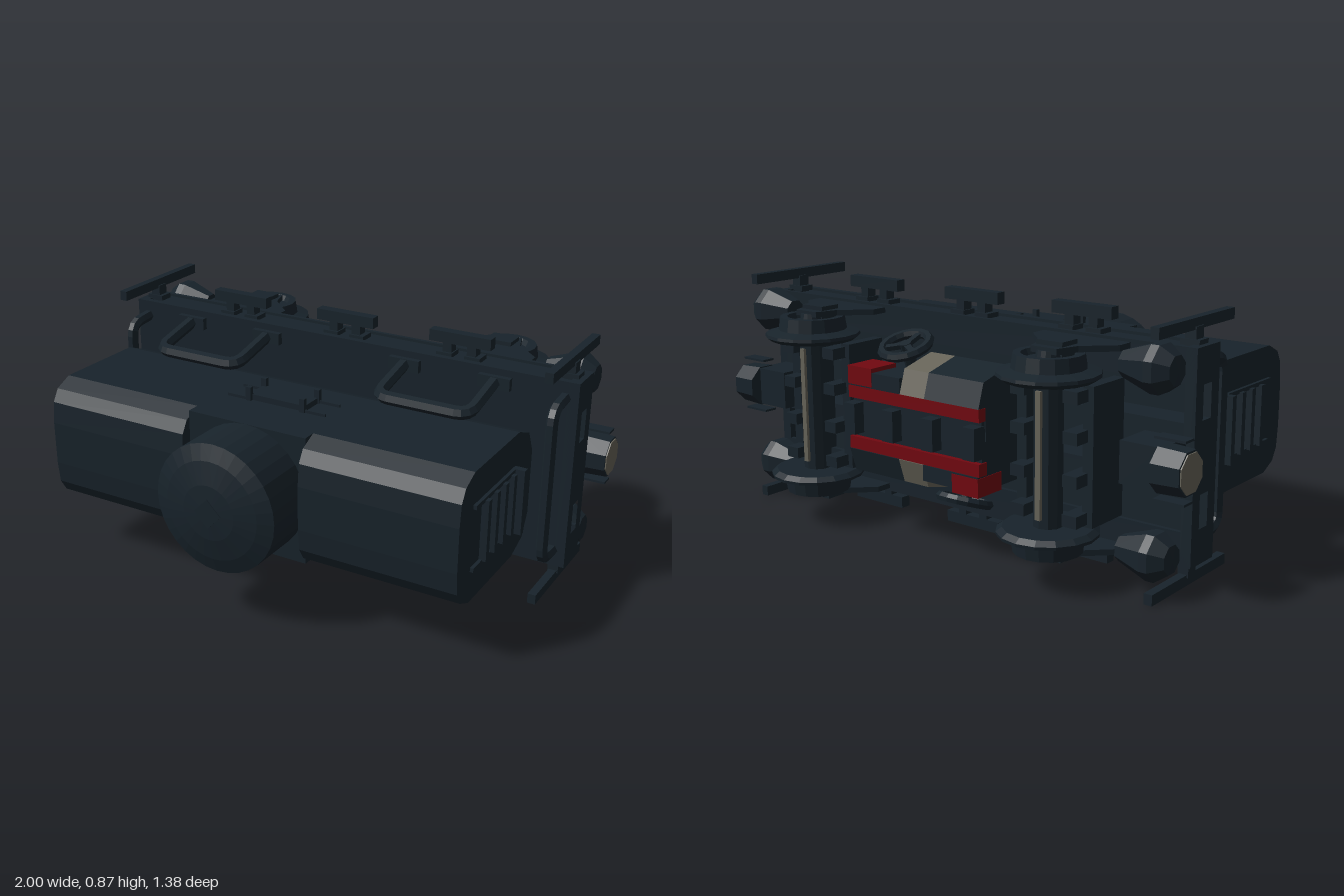
import * as THREE from 'three';

const mat = (color) => new THREE.MeshStandardMaterial({ color, flatShading: true });
const DARK = mat(0x18232b), RED = mat(0x720810), PALE = mat(0x676459);

// Built upright: x = length, y = up, z = across; the whole wagon is tipped on its back at the end.
export function createModel() {
  const wagon = new THREE.Group();
  wagon.name = 'tankWagon';
  const add = (name, geo, m = DARK, parent = wagon) => {
    const mesh = new THREE.Mesh(geo, m);
    mesh.name = name;
    parent.add(mesh);
    return mesh;
  };
  // Box given by its limits on each axis
  const box = (name, x0, x1, y0, y1, z0, z1, m, parent) =>
    add(name, new THREE.BoxGeometry(Math.abs(x1 - x0), Math.abs(y1 - y0), Math.abs(z1 - z0))
      .translate((x0 + x1) / 2, (y0 + y1) / 2, (z0 + z1) / 2), m, parent);
  // Outline of [z, y] points drawn out along x
  const prism = (name, pts, x0, x1, m, parent, holes = []) => {
    const vec = (list) => list.map(([z, y]) => new THREE.Vector2(-z, y));
    const shape = new THREE.Shape(vec(pts));
    holes.forEach((h) => shape.holes.push(new THREE.Path(vec(h))));
    const geo = new THREE.ExtrudeGeometry(shape, { depth: x1 - x0, bevelEnabled: false });
    return add(name, geo.rotateY(Math.PI / 2).translate(x0, 0, 0), m, parent);
  };
  const lathe = (pts, sides) => new THREE.LatheGeometry(pts.map((p) => new THREE.Vector2(...p)), sides);
  const tube = (name, pts, r) => {
    const path = new THREE.CurvePath();
    const v = pts.map((p) => new THREE.Vector3(...p));
    // Rounded bends between straight runs
    let from = v[0];
    for (let i = 1; i < v.length - 1; i++) {
      const a = v[i].clone().add(v[i - 1].clone().sub(v[i]).setLength(0.05));
      const b = v[i].clone().add(v[i + 1].clone().sub(v[i]).setLength(0.05));
      path.add(new THREE.LineCurve3(from, a));
      path.add(new THREE.QuadraticBezierCurve3(a, v[i], b));
      from = b;
    }
    path.add(new THREE.LineCurve3(from, v[v.length - 1]));
    add(name, new THREE.TubeGeometry(path, 36, r, 6));
  };
  const mirrorPts = (half) => [...half, ...half.slice().reverse().map(([z, y]) => [-z, y])];
  const rect = (z0, z1, y0, y1) => [[z0, y0], [z1, y0], [z1, y1], [z0, y1]];
  const SIGNS = [-1, 1];

  // Tank in two halves either side of a lower, square-shouldered middle
  const belly = [[0.12, -0.09], [0.2, -0.05], [0.235, 0.04]];
  const tankOutline = mirrorPts([...belly, [0.235, 0.4], [0.205, 0.465], [0.16, 0.492], [0.08, 0.5]]);
  prism('tankRight', tankOutline, -0.82, -0.235);
  prism('tankLeft', tankOutline, 0.235, 0.82);
  prism('tankMiddle', mirrorPts([...belly, [0.235, 0.45]]), -0.235, 0.235);

  // Central dome
  add('dome', lathe([[0.235, 0.3], [0.235, 0.645], [0.18, 0.665], [0.1, 0.682], [0, 0.69]], 32));
  const hatch = add('domeHatch', new THREE.BoxGeometry(0.075, 0.012, 0.075));
  hatch.rotation.y = Math.PI / 4;
  hatch.position.y = 0.684;

  // Frame: deck, channel solebars and centre sill
  box('deck', -0.94, 0.94, -0.205, -0.18, -0.355, 0.355);
  for (const s of SIGNS) {
    box('solebar', -0.92, 0.92, -0.31, -0.19, s * 0.3, s * 0.345);
    box('solebarLowerFlange', -0.94, 0.94, -0.32, -0.305, s * 0.24, s * 0.355);
    box('centreSill', -0.9, 0.9, -0.32, -0.2, s * 0.06, s * 0.115);
  }

  for (const e of SIGNS) {
    // Headstock with two slots
    prism('headstock', rect(-0.355, 0.355, -0.32, -0.18), e > 0 ? 0.9 : -0.94, e > 0 ? 0.94 : -0.9, DARK, wagon,
      SIGNS.map((s) => rect(s * 0.12, s * 0.235, -0.275, -0.225)));

    // End ladder on the tank
    for (const s of SIGNS) box('ladderRail', e * 0.815, e * 0.832, 0.06, 0.4, s * 0.105, s * 0.12);
    for (const y of [0.11, 0.18, 0.25, 0.32])
      box('ladderRung', e * 0.815, e * 0.845, y - 0.012, y + 0.012, -0.11, 0.11);
    box('ladderTopStep', e * 0.815, e * 0.865, 0.06, 0.085, -0.12, 0.12);

    // End handrail
    tube('endHandrail', [[e * 0.89, -0.19, -0.295], [e * 0.89, -0.07, -0.285],
      [e * 0.89, -0.07, 0.285], [e * 0.89, -0.19, 0.295]], 0.022);

    // Central buffer with pale face
    const buffer = add('buffer', new THREE.CylinderGeometry(0.075, 0.08, 0.1, 8, 1)
      .rotateY(Math.PI / 8).rotateZ(-e * Math.PI / 2));
    buffer.position.set(e * 0.946, -0.435, 0);
    const face = add('bufferFace', new THREE.CylinderGeometry(0.068, 0.068, 0.008, 8)
      .rotateY(Math.PI / 8).rotateZ(Math.PI / 2), PALE);
    face.position.set(e * 0.996, -0.435, 0);
    box('bufferMount', e * 0.76, e * 0.91, -0.465, -0.31, -0.07, 0.07);

    for (const s of SIGNS) {
      box('bufferGuide', e * 0.88, e * 0.99, -0.46, -0.41, s * 0.095, s * 0.103);
      // Corner uprights standing off the frame
      box('cornerUpright', e * 0.87, e * 0.9, -0.48, -0.02, s * 0.4, s * 0.437);
      box('cornerBracket', e * 0.865, e * 0.905, -0.27, -0.225, s * 0.33, s * 0.41);
      box('cornerFoot', e * 0.85, e * 0.92, -0.275, -0.22, s * 0.35, s * 0.37);
      // Octagonal bosses under the frame corners
      const boss = add('cornerBoss', lathe([[0, 0.74], [0.045, 0.74], [0.083, 0.85], [0.083, 0.88], [0.05, 0.925], [0, 0.93]], 8)
        .rotateY(Math.PI / 8).rotateZ(-e * Math.PI / 2));
      boss.position.set(0, -0.41, s * 0.3);
    }
    // Red tank supports
    box('tankSupport', e * 0.35, e * 0.47, -0.18, -0.13, -0.115, 0.115, RED);
    box('supportRib', e * 0.47, e * 0.58, -0.18, -0.165, -0.115, 0.115, RED);
    for (const s of SIGNS) box('supportBolt', e * 0.52, e * 0.535, -0.18, -0.145, s * 0.08, s * 0.1, RED);
  }

  for (const s of SIGNS) {
    // Side handrails
    for (const cx of [-0.47, 0.47]) {
      tube('sideHandrail', [[cx - 0.175, -0.15, s * 0.32], [cx - 0.175, 0.072, s * 0.27],
        [cx + 0.175, 0.072, s * 0.27], [cx + 0.175, -0.15, s * 0.32]], 0.024);
      for (const k of SIGNS)
        box('handrailFoot', cx + k * 0.115, cx + k * 0.235, -0.155, -0.133, s * 0.295, s * 0.34);
    }
    // Side steps hung on pairs of brackets
    for (const cx of [-0.47, 0, 0.47]) {
      box('sideStep', cx - 0.12, cx + 0.12, -0.265, -0.225, s * 0.395, s * 0.437);
      for (const k of SIGNS) {
        box('stepBracket', cx + k * 0.03, cx + k * 0.065, -0.265, -0.225, s * 0.34, s * 0.4);
        box('stepFoot', cx + k * 0.025, cx + k * 0.085, -0.275, -0.215, s * 0.34, s * 0.362);
      }
    }
    // Small ledge with raised corners at the middle of the tank side
    box('tankLedge', -0.115, 0.115, 0.16, 0.255, s * 0.23, s * 0.256);
    for (const y of [0.15, 0.25]) {
      for (const k of SIGNS) {
        box('ledgePost', k * 0.1, k * 0.12, y, y + 0.018, s * 0.23, s * 0.285);
        box('ledgeRail', k * 0.12, k * 0.2, y + 0.006, y + 0.012, s * 0.23, s * 0.245);
      }
    }
  }

  // Wheelsets
  const wheelPts = [[0, 0.24], [0.15, 0.24], [0.17, 0.255], [0.168, 0.266], [0.122, 0.278],
    [0.115, 0.325], [0.09, 0.325], [0.08, 0.305], [0.045, 0.305], [0.04, 0.335], [0, 0.335]];
  // Spreading arms that hold each axle box under the frame
  const hornPts = [[-0.05, -0.03], [0.05, -0.03], [0.075, 0.05], [0.17, 0.14], [0.17, 0.205],
    [-0.17, 0.205], [-0.17, 0.14], [-0.075, 0.05]];
  for (const ax of [-0.53, 0.53]) {
    const set = new THREE.Group();
    set.name = 'wheelset';
    set.position.set(ax, -0.52, 0);
    wagon.add(set);
    add('axle', new THREE.CylinderGeometry(0.05, 0.05, 0.5, 10).rotateX(Math.PI / 2), DARK, set);
    box('axleStrip', -0.01, 0.01, -0.058, -0.045, -0.21, 0.21, PALE, set);
    for (const s of SIGNS) {
      const wheel = add('wheel', lathe(wheelPts, 16).rotateX(Math.PI / 2), DARK, set);
      if (s < 0) wheel.rotation.y = Math.PI;
      add('hornGuide', new THREE.ExtrudeGeometry(
        new THREE.Shape(hornPts.map((p) => new THREE.Vector2(...p))), { depth: 0.02, bevelEnabled: false })
        .translate(0, 0, s * 0.335 - 0.01), DARK, set);
      box('axleBox', -0.05, 0.05, 0.0, 0.08, s * 0.3, s * 0.36, DARK, set);
      // Brake beams and lugs on both sides of the axle
      box('brakeBeam', s * 0.11, s * 0.15, 0.03, 0.2, -0.23, 0.23, DARK, set);
      for (const k of [-0.2, -0.07, 0.07, 0.2])
        box('brakeLug', s * 0.075, s * 0.13, -0.03, 0.12, k - 0.02, k + 0.02, DARK, set);
    }
  }

  // Underfloor machinery: two identical halves, turned half a turn to each other
  const outline = [[0, -0.31], [-0.2, -0.31], [-0.235, -0.42], [-0.2, -0.555], [-0.115, -0.582],
    [-0.115, -0.545], [0, -0.545]];
  for (const turn of [0, Math.PI]) {
    const half = new THREE.Group();
    half.name = 'machineryHalf';
    half.rotation.y = turn;
    wagon.add(half);
    prism('barrel', outline, -0.295, -0.06, DARK, half);
    prism('paleBand', outline, -0.06, 0.05, PALE, half);
    prism('gearCase', [[0, -0.31], [-0.17, -0.31], [-0.17, -0.582], [-0.115, -0.582], [-0.115, -0.545], [0, -0.545]],
      0.05, 0.29, DARK, half);
    box('redCase', 0.18, 0.292, -0.584, -0.46, -0.185, -0.12, RED, half);
    box('redRail', -0.295, 0.295, -0.58, -0.54, -0.114, -0.07, RED, half);
    box('underPlate', -0.29, 0.29, -0.56, -0.54, -0.07, 0, DARK, half);
    for (const x of [-0.27, -0.09, 0.09, 0.27])
      box('underBlock', x - 0.025, x + 0.025, -0.605, -0.55, -0.055, 0, DARK, half);
    // Handwheel
    const hand = new THREE.Group();
    hand.name = 'handwheel';
    hand.position.set(0.13, -0.46, -0.255);
    hand.rotation.x = -0.35;
    half.add(hand);
    add('rim', new THREE.TorusGeometry(0.085, 0.017, 6, 16), DARK, hand);
    for (let i = 0; i < 3; i++)
      add('spoke', new THREE.BoxGeometry(0.022, 0.085, 0.016).translate(0, 0.042, 0), DARK, hand).rotation.z = i * Math.PI * 2 / 3;
    add('shaft', new THREE.CylinderGeometry(0.022, 0.022, 0.12, 8).rotateX(Math.PI / 2).translate(0, 0, 0.05), DARK, hand);
  }

  // Tip the wagon so that its top faces forward
  wagon.rotation.x = Math.PI / 2;
  wagon.position.y = 0.437;
  const model = new THREE.Group();
  model.name = 'model';
  model.add(wagon);
  return model;
}
